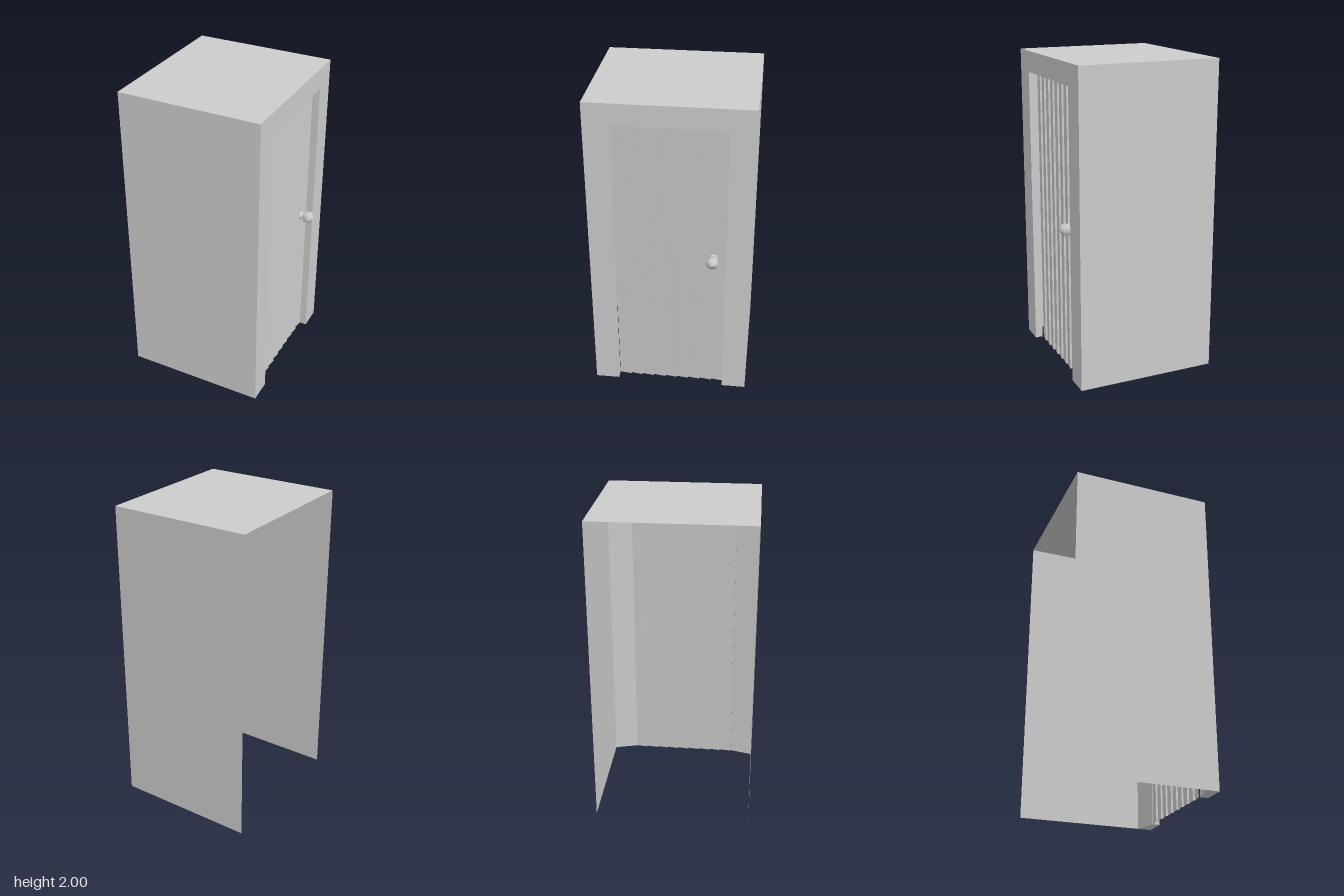
import * as THREE from 'three';

const material = new THREE.MeshStandardMaterial({ color: 0xcccccc, side: THREE.DoubleSide });

const BACK = -0.475, FACE = 0.43, HALF = 0.5, TOP = 2;
const DOOR_X = 0.38, DOOR_HALF = 0.348, DOOR_TOP = 1.865;

function add(group, name, geometry) {
  const mesh = new THREE.Mesh(geometry, material);
  mesh.name = name;
  group.add(mesh);
  return mesh;
}

// Flat-shaded geometry from a list of four-cornered faces
function quads(faces) {
  const points = faces.flatMap(([a, b, c, d]) => [a, b, c, a, c, d]).flat();
  const geometry = new THREE.BufferGeometry();
  geometry.setAttribute('position', new THREE.Float32BufferAttribute(points, 3));
  geometry.computeVertexNormals();
  return geometry;
}

// Door surround: an upside-down U whose inside slopes back to the walls
function doorFrame() {
  const ring = (x, w, top) => [[x, 0, w], [x, top, w], [x, top, -w], [x, 0, -w]];
  const rings = [
    ring(FACE, HALF, TOP),
    ring(FACE, DOOR_HALF, DOOR_TOP),
    ring(DOOR_X, DOOR_HALF, DOOR_TOP),
    ring(0.34, HALF, TOP),
  ];
  const faces = [];
  for (let r = 0; r < 3; r++) {
    for (let i = 0; i < 3; i++) {
      faces.push([rings[r][i], rings[r + 1][i], rings[r + 1][i + 1], rings[r][i + 1]]);
    }
  }
  // Feet of the two jambs
  faces.push(rings.map((p) => p[0]).reverse(), rings.map((p) => p[3]));
  return quads(faces);
}

// Door: nine slightly tilted boards, each with a small step to the next
function doorBoards() {
  const count = 9, width = (2 * DOOR_HALF) / count, low = DOOR_X - 0.008, high = DOOR_X + 0.004;
  const strip = (x0, z0, x1, z1) => [[x0, 0, z0], [x1, 0, z1], [x1, DOOR_TOP, z1], [x0, DOOR_TOP, z0]];
  const faces = [];
  for (let i = 0; i < count; i++) {
    const z0 = DOOR_HALF - i * width, z1 = z0 - width;
    faces.push(strip(low, z0, high, z1));
    if (i < count - 1) faces.push(strip(high, z1, low, z1));
  }
  return quads(faces);
}

export function createModel() {
  const model = new THREE.Group();
  model.name = 'doorBooth';
  const depth = FACE - BACK, middle = (FACE + BACK) / 2;

  // Side walls and roof; the end opposite the door and the floor are open
  for (const side of [1, -1]) {
    const wall = add(model, side > 0 ? 'frontWall' : 'backWall', new THREE.PlaneGeometry(depth, TOP));
    wall.position.set(middle, TOP / 2, side * HALF);
    if (side < 0) wall.rotation.y = Math.PI;
  }
  const roof = add(model, 'roof', new THREE.PlaneGeometry(depth, 2 * HALF));
  roof.rotation.x = -Math.PI / 2;
  roof.position.set(middle, TOP, 0);

  add(model, 'doorFrame', doorFrame());
  add(model, 'doorBoards', doorBoards());

  // Turned knob with a flared base and a narrow neck
  const profile = [
    [0.03, -0.005], [0.03, 0.005], [0.016, 0.016], [0.016, 0.024],
    [0.038, 0.03], [0.038, 0.07], [0, 0.093],
  ].map(([r, h]) => new THREE.Vector2(r, h));
  const knob = add(model, 'doorKnob', new THREE.LatheGeometry(profile, 8));
  knob.rotation.z = -Math.PI / 2;
  knob.position.set(DOOR_X, 0.98, -0.265);

  return model;
}
